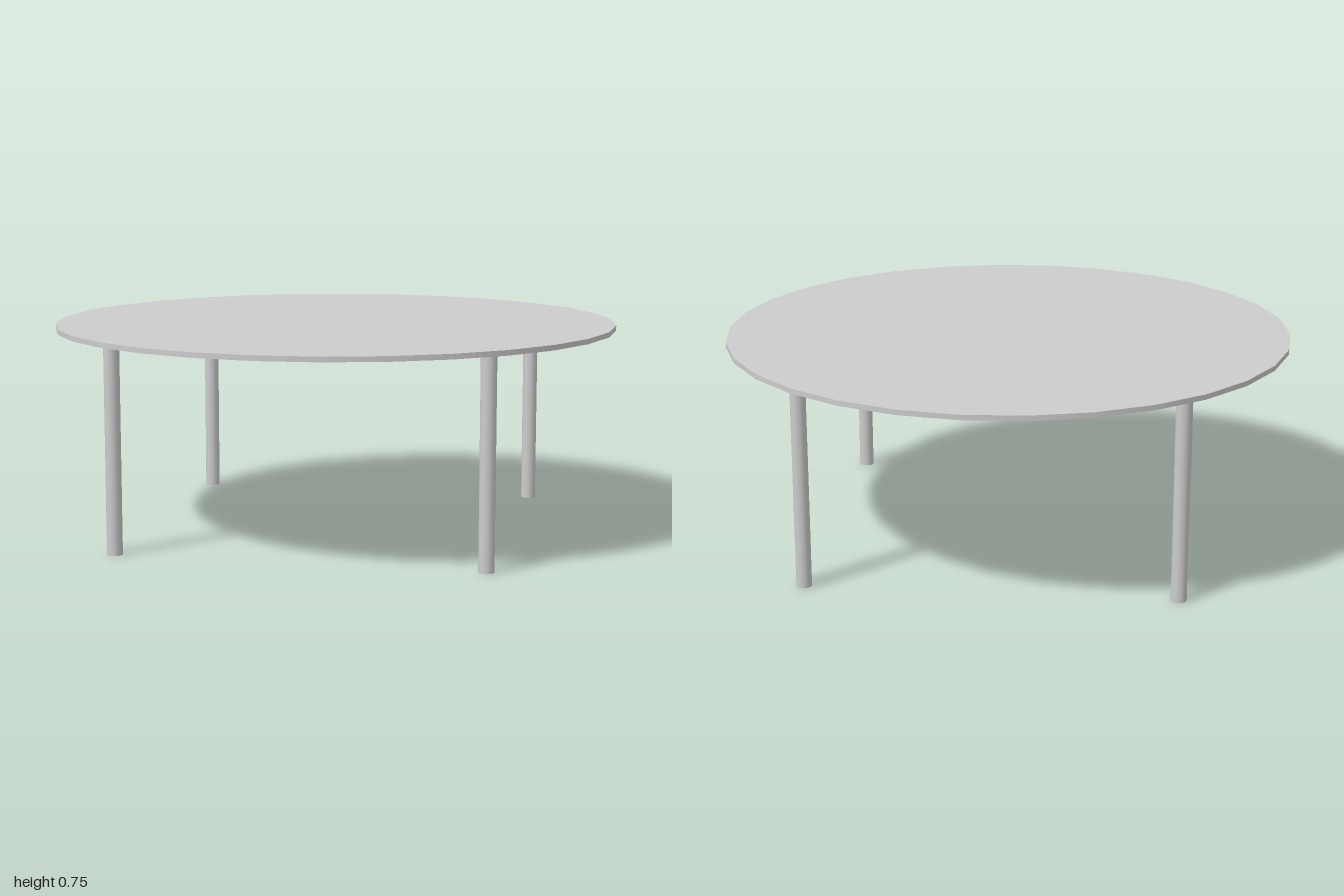
import * as THREE from 'three';

export function createModel() {
  const group = new THREE.Group();
  const grey = new THREE.MeshStandardMaterial({ color: 0xcccccc });
  grey.name = 'light grey';
  grey.side = THREE.DoubleSide; // legs are open tubes

  const legHeight = 0.727;
  const topThickness = 0.018;

  // Thin round top with 30 sides
  const top = new THREE.Mesh(new THREE.CylinderGeometry(1, 1, topThickness, 30), grey);
  top.name = 'tableTop';
  top.position.y = legHeight + topThickness / 2;
  group.add(top);

  // Four tubular legs at the quarter points
  const legGeometry = new THREE.CylinderGeometry(0.027, 0.027, legHeight, 16, 1, true);
  const names = ['frontLeg', 'leftLeg', 'backLeg', 'rightLeg'];
  names.forEach((name, i) => {
    const angle = (i * Math.PI) / 2;
    const leg = new THREE.Mesh(legGeometry, grey);
    leg.name = name;
    leg.position.set(0.9 * Math.sin(angle), legHeight / 2, 0.9 * Math.cos(angle));
    group.add(leg);
  });

  return group;
}
